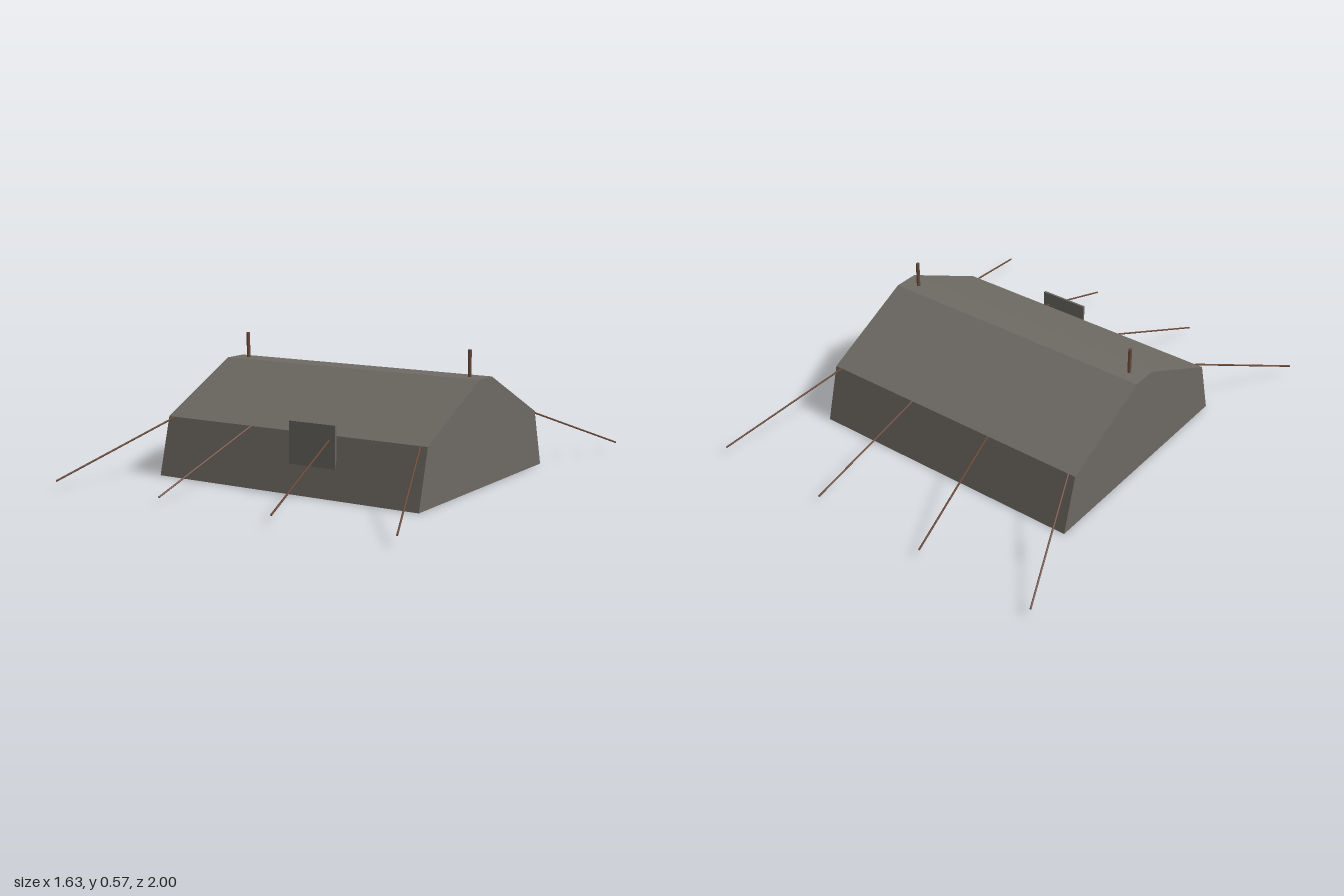
import * as THREE from 'three';

const canvas = new THREE.MeshStandardMaterial({ color: 0x6e6a64, name: 'greyCanvas' });
const flapCloth = new THREE.MeshStandardMaterial({ color: 0x686660, name: 'flapCanvas' });
const wood = new THREE.MeshStandardMaterial({ color: 0x6e4c3c, name: 'brownWoodAndRope' });

// Cylinder stretched between two points
function rod(name, from, to, radius, sides) {
  const dir = to.clone().sub(from);
  const mesh = new THREE.Mesh(new THREE.CylinderGeometry(radius, radius, dir.length(), sides), wood);
  mesh.name = name;
  mesh.position.copy(from).add(to).multiplyScalar(0.5);
  mesh.quaternion.setFromUnitVectors(new THREE.Vector3(0, 1, 0), dir.normalize());
  return mesh;
}

export function createModel() {
  const model = new THREE.Group();
  model.name = 'tent';

  // Tent body: end profile extruded along x
  const profile = new THREE.Shape([
    [-0.545, 0], [0.545, 0], [0.478, 0.248], [0.056, 0.455], [-0.056, 0.455], [-0.478, 0.248],
  ].map(([z, y]) => new THREE.Vector2(z, y)));
  const bodyGeometry = new THREE.ExtrudeGeometry(profile, { depth: 1.276, bevelEnabled: false });
  bodyGeometry.translate(0, 0, -0.638).rotateY(Math.PI / 2);
  const body = new THREE.Mesh(bodyGeometry, canvas);
  body.name = 'tentBody';
  model.add(body);

  // Upright door flap set into the front wall
  const flap = new THREE.Mesh(new THREE.BoxGeometry(0.222, 0.2, 0.01), flapCloth);
  flap.name = 'doorFlap';
  flap.position.set(0.124, 0.197, 0.508);
  model.add(flap);

  for (const side of [-1, 1]) {
    // Ridge poles
    const x = side * 0.564;
    model.add(rod('ridgePole', new THREE.Vector3(x, 0.02, 0), new THREE.Vector3(x, 0.568, 0), 0.008, 8));

    // Guy ropes from the eaves, fanning outwards
    for (const end of [-1, 1]) {
      for (const [top, foot] of [[0.605, 0.81], [0.202, 0.268]]) {
        model.add(rod('guyRope',
          new THREE.Vector3(side * top, 0.248, end * 0.478),
          new THREE.Vector3(side * foot, 0.04, end * 0.999), 0.004, 6));
      }
    }
  }
  return model;
}
